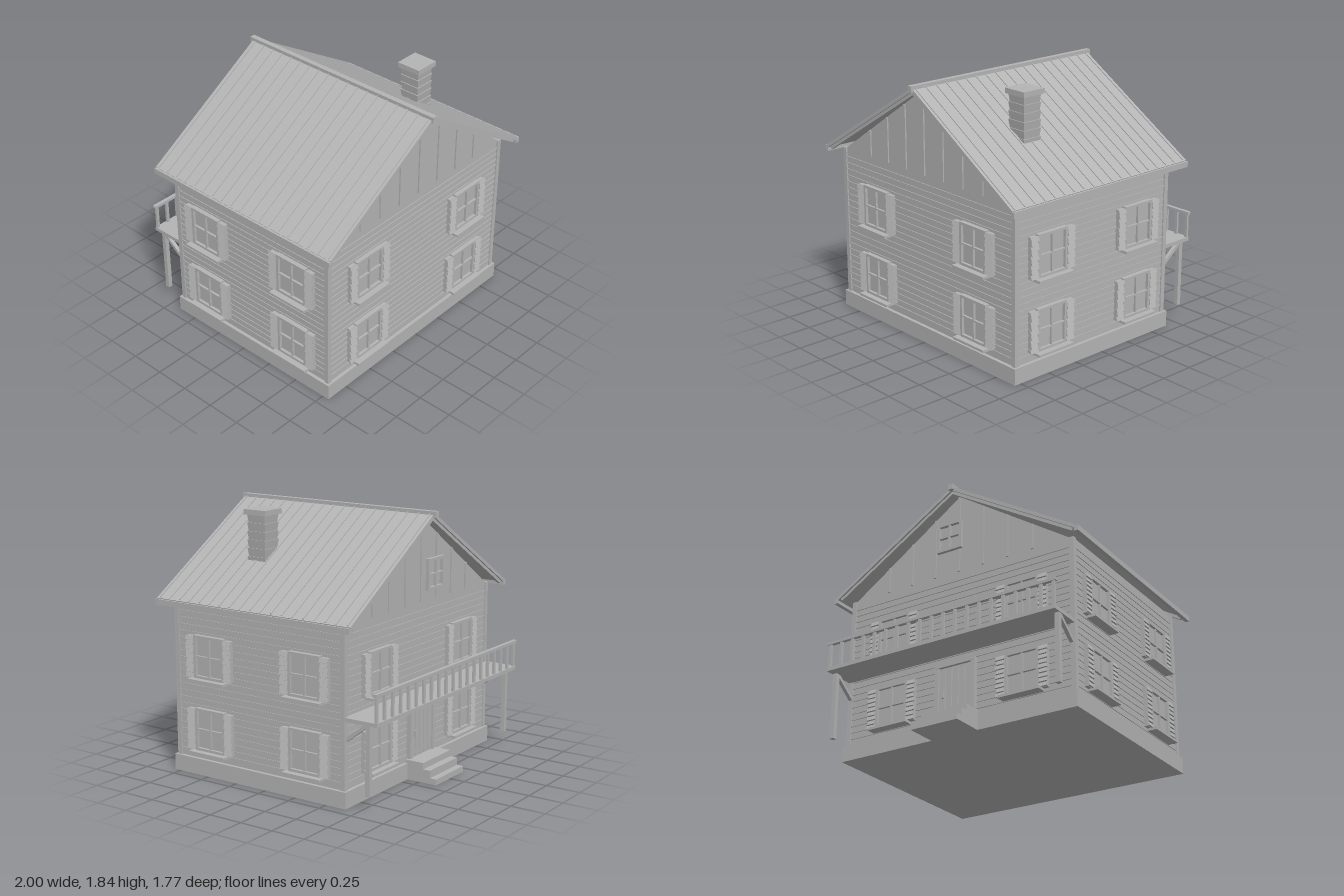
import * as THREE from 'three';

export function createModel() {
  const house = new THREE.Group();
  house.name = 'house';
  const grey = new THREE.MeshStandardMaterial({ color: 0xb4b4b4 });
  grey.name = 'plain grey';

  const add = (geometry, name, parent = house) => {
    const mesh = new THREE.Mesh(geometry, grey);
    mesh.name = name;
    parent.add(mesh);
    return mesh;
  };
  // Box given by its extents along each axis
  const box = (name, x0, x1, y0, y1, z0, z1, parent = house) => {
    const mesh = add(new THREE.BoxGeometry(x1 - x0, y1 - y0, z1 - z0), name, parent);
    mesh.position.set((x0 + x1) / 2, (y0 + y1) / 2, (z0 + z1) / 2);
    return mesh;
  };

  const FRONT = 0.785, BACK = -0.64, SIDE = 0.91;

  // Foundation, wall core and corner boards
  box('foundation', -0.925, 0.925, 0, 0.115, -0.655, 0.8);
  box('walls', -0.9, 0.9, 0.115, 1.21, BACK + 0.01, FRONT - 0.01);
  for (const s of [-1, 1]) {
    for (const z of [BACK + 0.0175, FRONT - 0.0175]) {
      const corner = box('cornerBoard', -0.0175, 0.0175, 0.115, 1.21, -0.0175, 0.0175);
      corner.position.x = s * (SIDE - 0.0175);
      corner.position.z = z;
    }
  }

  // Horizontal siding strips around all four walls
  for (let i = 0; i < 22; i++) {
    const y = 0.158 + i * 0.0467;
    box('sidingStrip', -0.905, 0.905, y, y + 0.012, BACK + 0.004, FRONT - 0.004);
  }

  // Attic prism with vertical battens on both gables
  const gable = new THREE.Shape([
    new THREE.Vector2(-0.88, 1.21), new THREE.Vector2(0.88, 1.21), new THREE.Vector2(0, 1.8),
  ]);
  const atticDepth = FRONT - BACK - 0.02;
  const attic = add(new THREE.ExtrudeGeometry(gable, { depth: atticDepth, bevelEnabled: false }), 'attic');
  attic.position.z = BACK + 0.01;
  for (let i = -3; i <= 3; i++) {
    const x = i * 0.197;
    const top = 1.8 - Math.abs(x) * 0.67 - 0.005;
    box('gableBatten', x - 0.008, x + 0.008, 1.21, top, FRONT - 0.012, FRONT);
    box('gableBatten', x - 0.008, x + 0.008, 1.21, top, BACK, BACK + 0.012);
  }

  // Roof halves, each built flat along its slope and then tilted
  const slope = Math.atan(0.61);
  const length = 0.985 / Math.cos(slope);
  for (const s of [-1, 1]) {
    const half = new THREE.Group();
    half.name = s > 0 ? 'leftRoof' : 'rightRoof';
    half.position.y = 1.83;
    half.rotation.z = -s * slope;
    house.add(half);
    const along = (name, a, b, y0, y1, z0, z1) =>
      box(name, s > 0 ? a : -b, s > 0 ? b : -a, y0, y1, z0, z1, half);
    along('roofPanel', 0, length, -0.024, 0, -0.735, 0.875);
    for (let i = 0; i < 19; i++) {
      const z = -0.708 + i * 0.0866;
      along('roofSeam', 0.015, length - 0.01, 0, 0.006, z - 0.004, z + 0.004);
    }
    for (const z of [-0.71, 0.85]) {
      along('bargeBoard', 0.02, length - 0.02, -0.045, -0.02, z - 0.012, z + 0.012);
    }
    box('eaveBoard', s > 0 ? 0.97 : -1, s > 0 ? 1 : -0.97, 1.185, 1.225, -0.735, 0.875);
  }
  box('ridgeCap', -0.019, 0.019, 1.8, 1.843, -0.755, 0.888);

  // Chimney of slightly flared courses
  const chimney = new THREE.Group();
  chimney.name = 'chimney';
  chimney.position.set(0.5, 0, 0.328);
  house.add(chimney);
  for (let i = 0; i < 7; i++) {
    const course = add(new THREE.CylinderGeometry(0.108, 0.098, 0.058, 4).toNonIndexed(), 'chimneyCourse', chimney);
    course.geometry.computeVertexNormals();
    course.rotation.y = Math.PI / 4;
    course.position.y = 1.42 + i * 0.058;
  }
  box('chimneyCap', -0.092, 0.092, 1.795, 1.832, -0.092, 0.092, chimney);

  // Frame with a cross of glazing bars, centred on the origin and facing +z
  const addFrame = (parent, w, h, t, z0, z1) => {
    for (const s of [-1, 1]) {
      box('frameSide', s * (w - t / 2) - t / 2, s * (w - t / 2) + t / 2, -h, h, z0, z1, parent);
      box('frameRail', -w + t, w - t, s * (h - t / 2) - t / 2, s * (h - t / 2) + t / 2, z0, z1, parent);
    }
    box('glazingBar', -0.006, 0.006, -h + t, h - t, z0, z1 - 0.004, parent);
    box('glazingBar', -w + t, w - t, -0.006, 0.006, z0, z1 - 0.004, parent);
  };

  // Window with sill and louvred shutters
  const addWindow = (x, y, z, turn) => {
    const win = new THREE.Group();
    win.name = 'window';
    win.position.set(x, y, z);
    win.rotation.y = turn;
    house.add(win);
    addFrame(win, 0.128, 0.15, 0.018, -0.01, 0.024);
    box('windowPane', -0.115, 0.115, -0.14, 0.14, -0.01, 0.004, win);
    box('windowSill', -0.155, 0.155, -0.168, -0.15, -0.01, 0.067, win);
    for (const s of [-1, 1]) {
      const shutter = new THREE.Group();
      shutter.name = 'shutter';
      shutter.position.x = s * 0.162;
      win.add(shutter);
      box('shutterPanel', -0.028, 0.028, -0.145, 0.142, -0.01, 0.017, shutter);
      for (let i = 0; i < 9; i++) {
        const slat = add(new THREE.BoxGeometry(i % 2 ? 0.058 : 0.068, 0.032, 0.01), 'shutterSlat', shutter);
        slat.position.set(0, -0.13 + i * 0.0322, 0.022);
        slat.rotation.x = -0.35;
      }
    }
  };
  for (const y of [0.33, 0.845]) {
    for (const s of [-1, 1]) {
      addWindow(s * 0.52, y, FRONT, 0);
      addWindow(s * 0.52, y, BACK, Math.PI);
      for (const z of [0.473, -0.33]) addWindow(s * SIDE, y, z, s * Math.PI / 2);
    }
  }

  // Small open frame in front of the back gable
  const gableWindow = new THREE.Group();
  gableWindow.name = 'gableWindow';
  gableWindow.position.set(0, 1.427, -0.745);
  house.add(gableWindow);
  addFrame(gableWindow, 0.1, 0.108, 0.02, -0.012, 0.012);

  // Plank door with casing and handle
  box('doorPanel', -0.13, 0.13, 0.115, 0.5, BACK - 0.006, BACK + 0.02);
  for (let i = -2; i <= 2; i++) {
    box('doorPlank', i * 0.052 - 0.023, i * 0.052 + 0.023, 0.14, 0.49, BACK - 0.014, BACK);
  }
  for (const s of [-1, 1]) {
    box('doorCasing', s * 0.143 - 0.015, s * 0.143 + 0.015, 0.115, 0.52, BACK - 0.025, BACK + 0.01);
  }
  box('doorHead', -0.158, 0.158, 0.5, 0.525, BACK - 0.027, BACK + 0.01);
  box('doorHandle', 0.085, 0.1, 0.28, 0.33, BACK - 0.03, BACK);

  // Door steps
  [[0.14, -0.78], [0.095, -0.835], [0.042, -0.885]].forEach(([top, z]) =>
    box('doorStep', -0.18, 0.18, 0, top, z, BACK));

  // Balcony floor, railing, posts and braces
  box('balconyFloor', -0.907, 0.907, 0.585, 0.612, -0.885, BACK + 0.01);
  box('handrail', -0.915, 0.915, 0.783, 0.803, -0.885, -0.858);
  for (let i = 0; i < 20; i++) {
    const x = -0.893 + i * 0.094;
    box('baluster', x - 0.011, x + 0.011, 0.61, 0.785, -0.88, -0.864);
  }
  for (const s of [-1, 1]) {
    box('balconyPost', s * 0.885 - 0.016, s * 0.885 + 0.016, 0.11, 0.587, -0.826, -0.794);
    const brace = add(new THREE.BoxGeometry(0.026, 0.024, 0.205), 'balconyBrace');
    brace.position.set(s * 0.885, 0.52, -0.718);
    brace.rotation.x = Math.atan2(0.125, 0.16);
  }
  return house;
}
